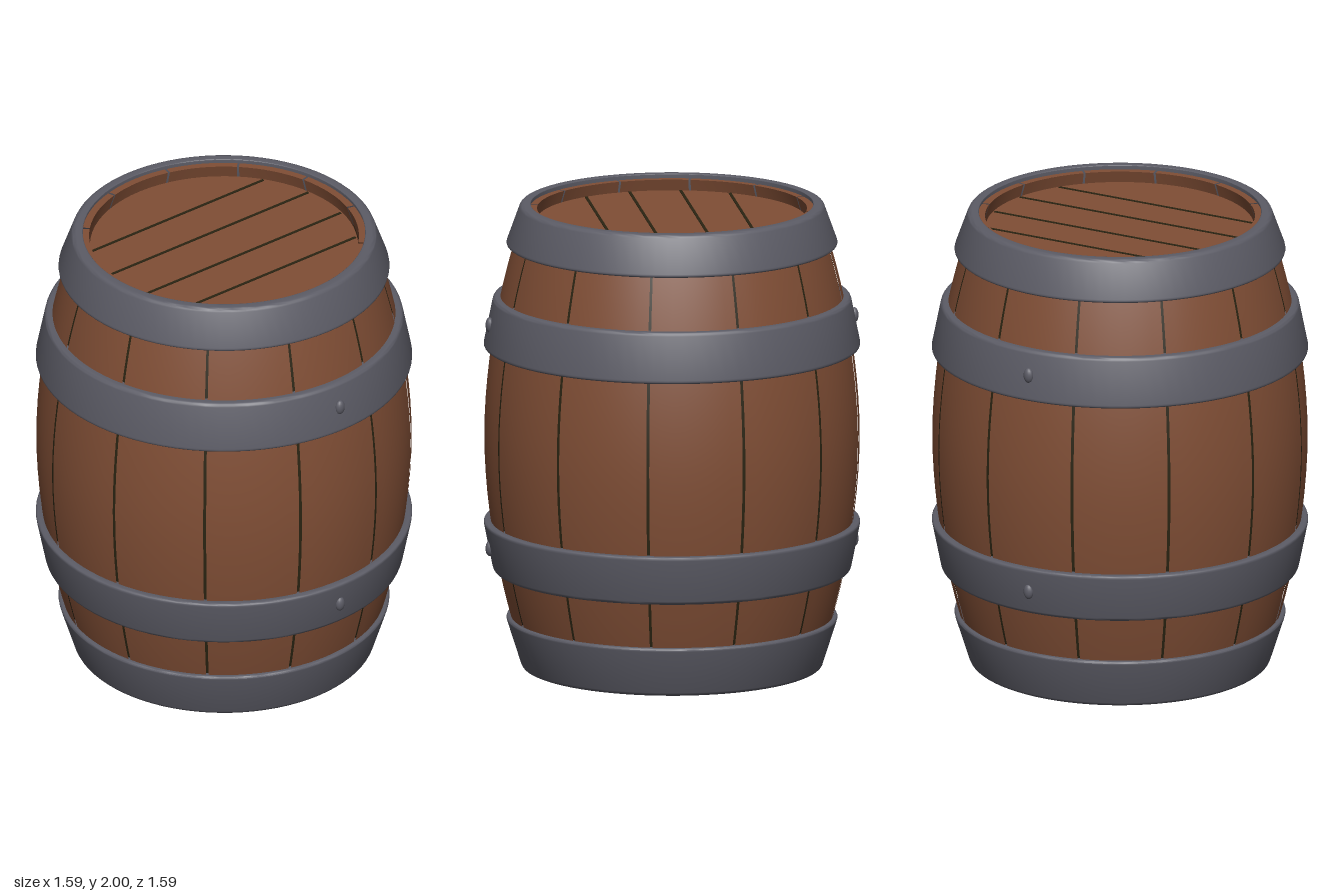
import * as THREE from 'three';
import { toCreasedNormals } from 'three/addons/utils/BufferGeometryUtils.js';

const material = (name, color) => {
  const m = new THREE.MeshStandardMaterial({ color });
  m.name = name;
  return m;
};

export function createModel() {
  const barrel = new THREE.Group();
  barrel.name = 'barrel';
  const wood = material('brown wood', 0x804e35);
  const iron = material('grey iron', 0x5c5c66);
  const gap = material('dark seam', 0x2a2412);
  gap.side = THREE.DoubleSide;

  const add = (name, geometry, mat) => {
    const mesh = new THREE.Mesh(geometry, mat);
    mesh.name = name;
    barrel.add(mesh);
    return mesh;
  };
  const v = (x, y) => new THREE.Vector2(x, y);

  // Bulging outline of the barrel
  const bottom = 0.025, top = 1.98;
  const radius = (y) => 0.795 - 0.18 * Math.pow(Math.abs(y - 1), 1.9);
  const heights = Array.from({ length: 25 }, (_, i) => bottom + (top - bottom) * i / 24);

  // Twelve staves with narrow gaps between them
  const outer = heights.map((y) => v(radius(y), y));
  const inner = heights.map((y) => v(radius(y) - 0.05, y)).reverse();
  const staveProfile = [...outer, ...inner, outer[0].clone()];
  const step = Math.PI / 6, slit = 0.016;
  for (let i = 0; i < 12; i++) {
    const geo = new THREE.LatheGeometry(staveProfile, 8, (i - 0.5) * step + slit / 2, step - slit);
    add('stave', toCreasedNormals(geo, 0.7), wood);
  }
  // Dark lining seen through the gaps
  add('seamLining', new THREE.LatheGeometry(heights.map((y) => v(radius(y) - 0.012, y)), 72), gap);

  // Recessed round heads
  const lidY = 1.935, baseY = 0.065, lidRadius = 0.568;
  for (const [name, y] of [['lid', lidY], ['base', baseY]]) {
    add(name, new THREE.CylinderGeometry(lidRadius, lidRadius, 0.04, 72), wood).position.y = y - Math.sign(y - 1) * 0.02;
  }
  // Seams between the lid planks
  for (const x of [-0.31, -0.11, 0.108, 0.304]) {
    const length = 2 * Math.sqrt(0.56 ** 2 - x * x);
    add('lidSeam', new THREE.BoxGeometry(0.012, 0.006, length), gap).position.set(x, lidY, 0);
  }

  // Iron hoops: slanted bands with rounded edges
  const addHoop = (name, y0, r0, y1, r1, i0, i1) => {
    const corners = [v(i0, y0), v(r0, y0), v(r1, y1), v(i1, y1)];
    const profile = [];
    corners.forEach((c, i) => {
      const before = corners[(i + 3) % 4], after = corners[(i + 1) % 4];
      const size = i === 1 || i === 2 ? 0.016 : 0.006;
      const a = c.clone().add(before.clone().sub(c).setLength(size));
      const b = c.clone().add(after.clone().sub(c).setLength(size));
      const curve = new THREE.QuadraticBezierCurve(a, c, b);
      profile.push(...curve.getPoints(4));
    });
    profile.push(profile[0].clone());
    add(name, toCreasedNormals(new THREE.LatheGeometry(profile, 80), 0.9), iron);
  };
  addHoop('topHoop', 1.825, 0.705, 2.0, 0.642, 0.65, 0.597);
  addHoop('upperHoop', 1.385, 0.8, 1.6, 0.757, 0.74, 0.70);
  addHoop('lowerHoop', 0.42, 0.757, 0.635, 0.8, 0.70, 0.74);
  addHoop('bottomHoop', 0.0, 0.635, 0.22, 0.705, 0.597, 0.65);

  // Rivets on both sides of the middle hoops
  for (const side of [-1, 1]) {
    for (const y of [1.495, 0.527]) {
      const rivet = add('rivet', new THREE.SphereGeometry(1, 16, 12), iron);
      rivet.scale.set(0.018, 0.033, 0.022);
      rivet.position.set(side * 0.779, y, 0);
    }
  }
  return barrel;
}
